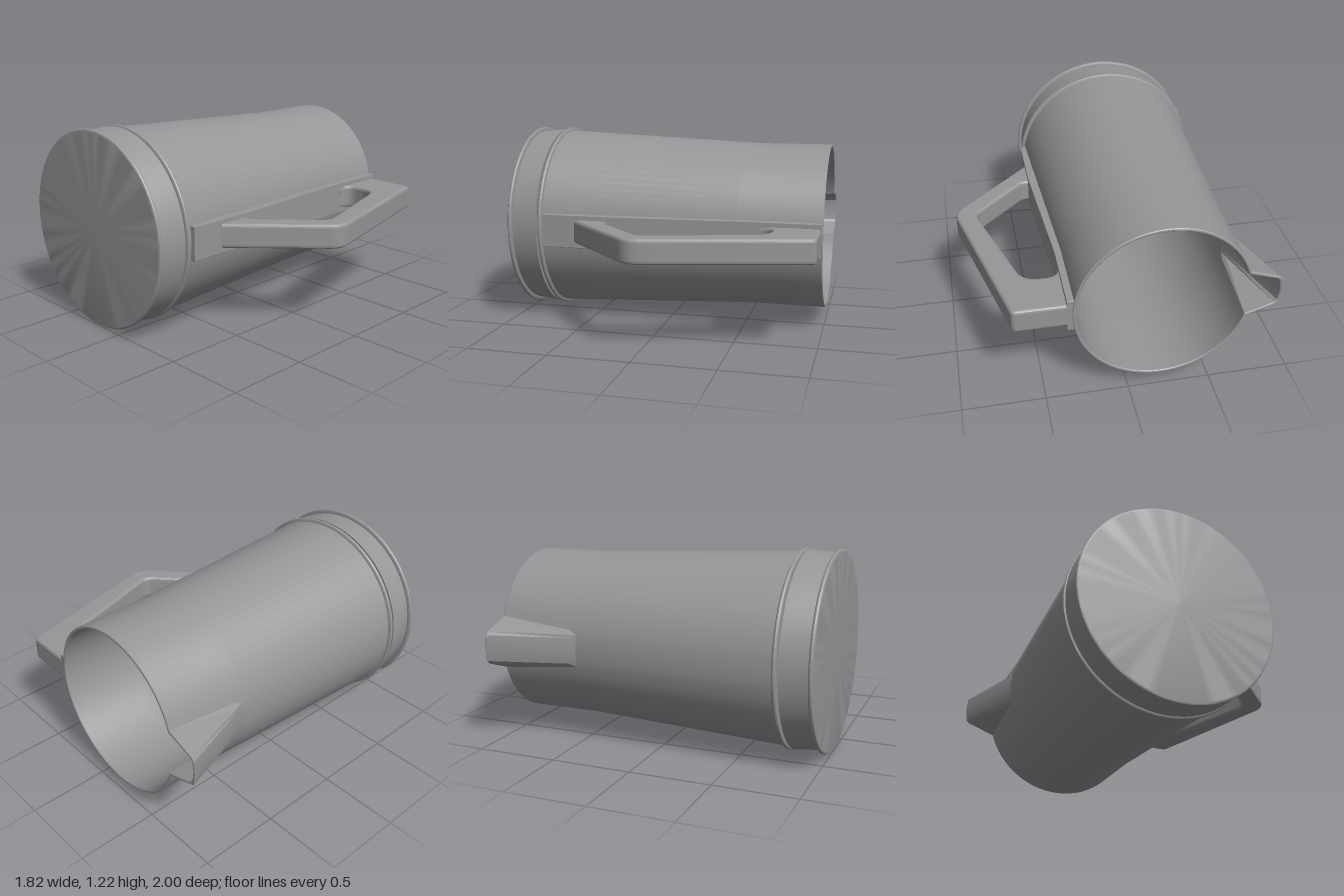
import * as THREE from 'three';
import { toCreasedNormals } from 'three/addons/utils/BufferGeometryUtils.js';

const CX = -0.2, CY = 0.612; // axis of the jug, which lies along z
const V = (x, y) => new THREE.Vector2(x, y);

// Closed outline with corners [x, z, radius]; drawn so that extrusion runs along y
function roundedShape(corners) {
  const shape = new THREE.Shape();
  const pts = corners.map(([x, z]) => V(x, -z));
  pts.forEach((p, i) => {
    const r = corners[i][2] || 0;
    const prev = pts[(i + pts.length - 1) % pts.length], next = pts[(i + 1) % pts.length];
    const a = p.clone().add(prev.clone().sub(p).setLength(r));
    const b = p.clone().add(next.clone().sub(p).setLength(r));
    if (i === 0) shape.moveTo(a.x, a.y); else shape.lineTo(a.x, a.y);
    if (r > 0) shape.quadraticCurveTo(p.x, p.y, b.x, b.y);
  });
  shape.closePath();
  return shape;
}

// Slab of a given thickness in y, centred on the axis, with softened edges and flat faces
function slab(corners, thickness, bevel) {
  const geo = new THREE.ExtrudeGeometry(roundedShape(corners), {
    depth: thickness - 2 * bevel, bevelEnabled: true, bevelThickness: bevel,
    bevelSize: bevel, bevelOffset: -bevel, bevelSegments: 3, curveSegments: 12,
  });
  geo.rotateX(-Math.PI / 2).translate(0, CY - thickness / 2 + bevel, 0);
  return toCreasedNormals(geo, 0.24);
}

// Turned part from [radius, z] pairs
function turned(profile) {
  const geo = new THREE.LatheGeometry(profile.map(([r, z]) => V(r, z)), 72);
  geo.rotateX(Math.PI / 2).translate(CX, CY, 0);
  return toCreasedNormals(geo, 0.6);
}

// Outer radius of the tapering wall
const wallRadius = z => 0.53 + 0.06 * Math.max(0, (z + 0.53) / 1.3);

// Spout section at the rim: [x, y from axis], and y where it meets the wall below
const SPOUT = [[-0.885, -0.1, -0.09], [-0.903, -0.08, -0.07], [-0.912, 0, 0],
  [-0.903, 0.08, 0.07], [-0.885, 0.1, 0.09]];

// One cross-section of the body: round wall plus the spout points
function ring(z, inset) {
  const t = Math.max(0, (-0.48 - z) / 0.52);
  const r = wallRadius(z) - inset, k = 1 - inset * 6;
  const a0 = Math.asin((0.11 + 0.055 * t) * k / r), N = 72;
  const pts = [];
  for (let i = 0; i <= N; i++) {
    const a = a0 + (2 * Math.PI - 2 * a0) * i / N;
    pts.push([CX - r * Math.cos(a), CY + r * Math.sin(a), z]);
  }
  for (const [x, yTop, yLow] of SPOUT) {
    const yl = yLow * k, xl = CX - Math.sqrt(r * r - yl * yl);
    pts.push([THREE.MathUtils.lerp(xl, x + inset, t),
      CY + THREE.MathUtils.lerp(yl, yTop * k, t), z]);
  }
  return pts;
}

// Outside wall, over the softened rim, then back down the inside
function bodyGeometry() {
  const rings = [[0.77, 0], [-0.48, 0], [-0.53, 0], [-0.995, 0], [-1, 0.005], [-1, 0.015],
    [-0.995, 0.02], [-0.53, 0.02], [-0.48, 0.02], [0.77, 0.02]].map(([z, inset]) => ring(z, inset));
  const n = rings[0].length, index = [];
  for (let i = 0; i < rings.length - 1; i++) {
    for (let j = 0; j < n; j++) {
      const a = i * n + j, b = i * n + (j + 1) % n;
      index.push(a, b, b + n, a, b + n, a + n);
    }
  }
  const geo = new THREE.BufferGeometry();
  geo.setAttribute('position', new THREE.Float32BufferAttribute(rings.flat(2), 3));
  geo.setIndex(index);
  return toCreasedNormals(geo, 0.3);
}

export function createModel() {
  const group = new THREE.Group();
  const material = new THREE.MeshStandardMaterial({ color: 0x969696 });
  const add = (name, geo) => {
    const mesh = new THREE.Mesh(geo, material);
    mesh.name = name;
    group.add(mesh);
  };

  add('bodyAndSpout', bodyGeometry());

  // Floor of the jug with its beaded edge
  add('floorBead', turned([[0, 0.766], [0.56, 0.766], [0.598, 0.766], [0.608, 0.772],
    [0.611, 0.78], [0.608, 0.789], [0.6, 0.794], [0.59, 0.794], [0, 0.794]]));

  // Separate base below a narrow gap, beaded at the foot
  add('base', turned([[0, 0.806], [0.603, 0.806], [0.586, 0.972], [0.6, 0.972],
    [0.608, 0.977], [0.611, 0.986], [0.608, 0.995], [0.6, 1], [0.595, 1], [0, 1]]));

  // Mounting strip running down the wall
  add('handleStrip', slab([[0.315, -0.99], [0.36, -0.99], [0.36, -0.53], [0.413, 0.32],
    [0.415, 0.75], [0.375, 0.75], [0.315, -0.53]], 0.21, 0.004));

  // Angular handle loop
  add('handle', slab([[0.312, -0.99], [0.67, -0.99, 0.03], [0.927, 0.05, 0.08],
    [0.41, 0.545], [0.38, 0.56], [0.38, 0.33], [0.455, 0.33, 0.03],
    [0.79, 0.01, 0.05], [0.57, -0.71, 0.1], [0.362, -0.71, 0.08], [0.362, -0.62],
    [0.312, -0.62]], 0.15, 0.02));

  return group;
}
